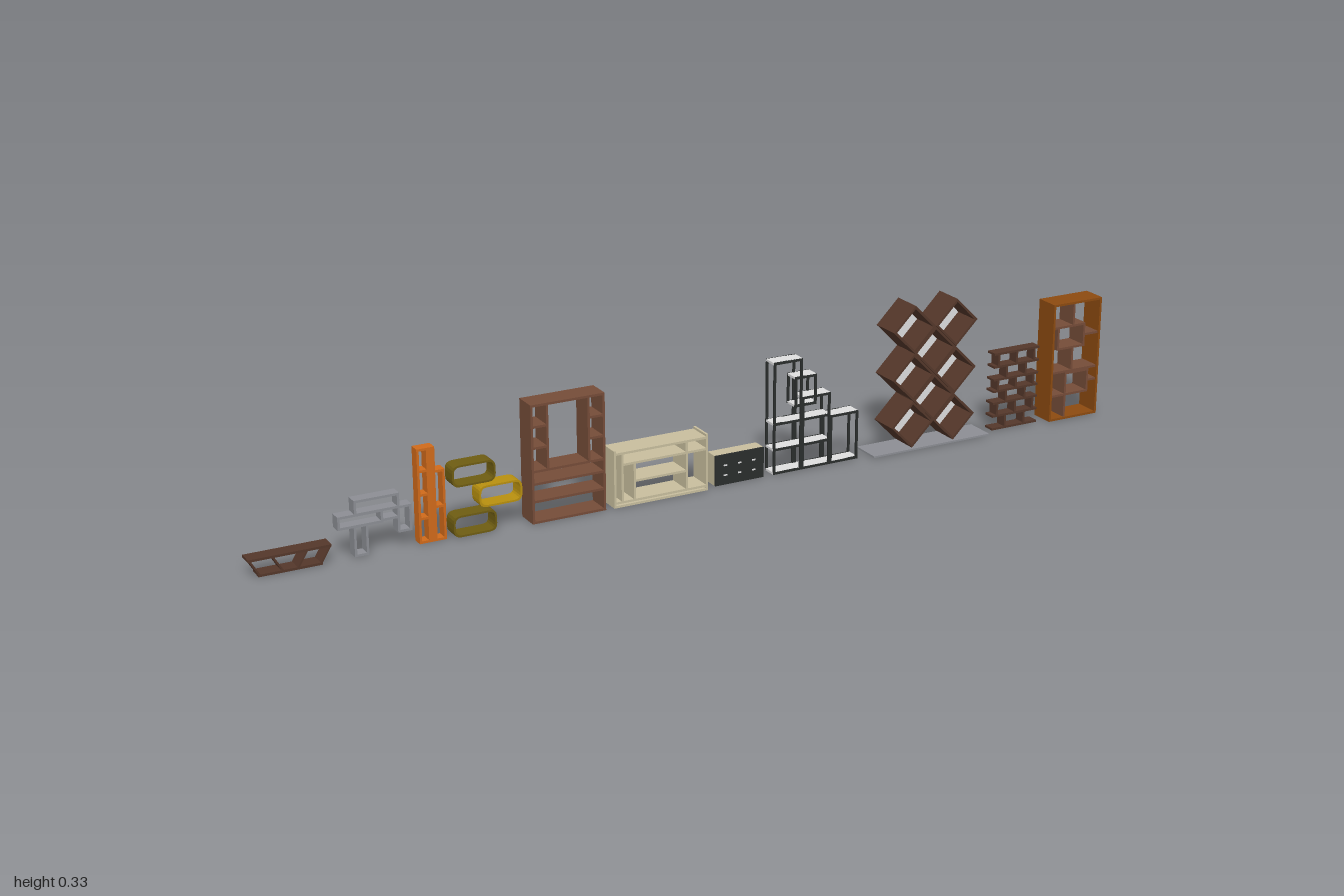
import * as THREE from 'three';

const mat = (name, color) => Object.assign(new THREE.MeshStandardMaterial({ color }), { name });
const M = {
  darkBrown: mat('dark brown', 0x54372a), brown: mat('brown', 0x754c38),
  rust: mat('rust wood', 0x8c4a10), orange: mat('orange wood', 0xd06a1a),
  olive: mat('olive', 0x6e5c12), gold: mat('gold', 0xb8900f),
  beige: mat('beige', 0xc8be9e), grey: mat('grey', 0x8c8e94),
  white: mat('white', 0xdededf), black: mat('black', 0x2a2d2c),
};
const T = 0.005; // board thickness

export function createModel() {
  const root = new THREE.Group();
  const unit = (name) => {
    const g = new THREE.Group();
    g.name = name;
    root.add(g);
    return g;
  };
  const add = (g, geo, m, name) => {
    const mesh = new THREE.Mesh(geo, m);
    mesh.name = name;
    g.add(mesh);
    return mesh;
  };
  // box given by its extents in x and y, its depth and z centre
  const box = (g, m, name, x0, x1, y0, y1, d, z = 0) => {
    const mesh = add(g, new THREE.BoxGeometry(x1 - x0, y1 - y0, d), m, name);
    mesh.position.set((x0 + x1) / 2, (y0 + y1) / 2, z);
    return mesh;
  };
  const shelf = (g, m, x0, x1, y, d, z = 0) => box(g, m, 'shelf', x0, x1, y, y + T, d, z);
  const upright = (g, m, x, y0, y1, d, z = 0) => box(g, m, 'upright', x, x + T, y0, y1, d, z);
  // open rectangular box, seen through from front to back
  const frame = (g, m, x0, x1, y0, y1, d, z = 0) => {
    shelf(g, m, x0, x1, y0, d, z);
    shelf(g, m, x0, x1, y1 - T, d, z);
    upright(g, m, x0, y0 + T, y1 - T, d, z);
    upright(g, m, x1 - T, y0 + T, y1 - T, d, z);
  };
  // slanted board between two points
  const slat = (g, m, ax, ay, bx, by, d, t = T) => {
    const mesh = add(g, new THREE.BoxGeometry(Math.hypot(bx - ax, by - ay), t, d), m, 'slat');
    mesh.position.set((ax + bx) / 2, (ay + by) / 2, 0);
    mesh.rotation.z = Math.atan2(by - ay, bx - ax);
  };

  // Low tapered wall shelf
  let g = unit('taperedShelf'), d = 0.033;
  shelf(g, M.darkBrown, -1, -0.83, 0.034, d);
  shelf(g, M.darkBrown, -0.98, -0.85, 0, d);
  [[-0.997, -0.977], [-0.95, -0.93], [-0.88, -0.9], [-0.833, -0.853]].forEach(([a, b]) =>
    slat(g, M.darkBrown, a, 0.036, b, 0.003, d, 0.004));

  // Grey interlocking boxes
  g = unit('interlockingShelf'); d = 0.026;
  frame(g, M.grey, -0.815, -0.72, 0.062, 0.09, d);
  frame(g, M.grey, -0.78, -0.685, 0.086, 0.118, d);
  frame(g, M.grey, -0.782, -0.752, 0, 0.066, d);
  frame(g, M.grey, -0.69, -0.66, 0.034, 0.09, d);
  shelf(g, M.grey, -0.72, -0.69, 0.065, d);

  // Tall narrow orange shelf
  g = unit('narrowShelf'); d = 0.024;
  box(g, M.orange, 'column', -0.625, -0.607, 0, 0.2, d);
  upright(g, M.orange, -0.645, 0, 0.2, d);
  for (const y of [0, 0.05, 0.1, 0.15, 0.195]) shelf(g, M.orange, -0.645, -0.625, y, d);
  upright(g, M.orange, -0.592, 0, 0.15, d);
  for (const y of [0, 0.07, 0.145]) shelf(g, M.orange, -0.607, -0.587, y, d);

  // Rounded open boxes
  g = unit('roundedShelf'); d = 0.036;
  const rounded = (C, w, h, r) => {
    const s = new C(), x = w / 2, y = h / 2;
    s.moveTo(-x + r, -y).lineTo(x - r, -y).quadraticCurveTo(x, -y, x, -y + r);
    s.lineTo(x, y - r).quadraticCurveTo(x, y, x - r, y);
    s.lineTo(-x + r, y).quadraticCurveTo(-x, y, -x, y - r);
    s.lineTo(-x, -y + r).quadraticCurveTo(-x, -y, -x + r, -y);
    return s;
  };
  [[-0.527, 0.13, M.olive], [-0.47, 0.077, M.gold], [-0.527, 0.023, M.olive]].forEach(([x, y, m]) => {
    const s = rounded(THREE.Shape, 0.094, 0.046, 0.016);
    s.holes.push(rounded(THREE.Path, 0.086, 0.038, 0.013));
    const geo = new THREE.ExtrudeGeometry(s, { depth: d, bevelEnabled: false, curveSegments: 4 });
    add(g, geo, m, 'roundedBox').position.set(x, y, -d / 2);
  });

  // Brown wall unit with a central opening
  g = unit('wallUnit'); d = 0.052;
  frame(g, M.brown, -0.405, -0.24, 0, 0.255, d);
  for (const y of [0.045, 0.083, 0.11]) shelf(g, M.brown, -0.4, -0.245, y, d);
  for (const [x0, x1, post] of [[-0.4, -0.371, -0.371], [-0.274, -0.245, -0.279]]) {
    upright(g, M.brown, post, 0.115, 0.25, d);
    for (const y of [0.16, 0.205]) shelf(g, M.brown, x0, x1, y, d);
  }

  // Beige media console
  g = unit('mediaConsole'); d = 0.056;
  shelf(g, M.beige, -0.222, -0.003, 0, d);
  shelf(g, M.beige, -0.222, -0.003, 0.008, d);
  shelf(g, M.beige, -0.222, -0.003, 0.115, d);
  shelf(g, M.beige, -0.205, -0.008, 0.09, d);
  shelf(g, M.beige, -0.172, -0.054, 0.05, d);
  upright(g, M.beige, -0.222, 0, 0.125, d);
  upright(g, M.beige, -0.008, 0, 0.125, d);
  upright(g, M.beige, -0.205, 0.013, 0.115, d);
  upright(g, M.beige, -0.177, 0.013, 0.09, d);
  upright(g, M.beige, -0.056, 0.013, 0.115, d);

  // Small chest with a dark front
  g = unit('smallChest'); d = 0.034;
  box(g, M.beige, 'body', 0.02, 0.137, 0, 0.067, d - 0.004, -0.002);
  box(g, M.black, 'frontPanel', 0.02, 0.137, 0, 0.067, 0.004, 0.015);
  for (let i = 0; i < 3; i++) for (const y of [0.02, 0.042])
    box(g, M.white, 'handle', 0.04 + i * 0.034, 0.048 + i * 0.034, y, y + 0.003, 0.002, 0.0175);

  // White stepped shelf with black edging
  g = unit('steppedShelf'); d = 0.036;
  const edged = (x0, x1, y0, y1, levels) => {
    for (const y of [y0, ...levels, y1 - T]) shelf(g, M.white, x0, x1, y, d - 0.004);
    for (const z of [-d / 2 + 0.002, d / 2 - 0.002]) {
      frame(g, M.black, x0, x1, y0, y1, 0.004, z);
      for (const y of levels) shelf(g, M.black, x0, x1, y, 0.004, z);
    }
  };
  edged(0.16, 0.23, 0, 0.25, [0.053, 0.11]);
  edged(0.212, 0.265, 0.143, 0.21, []);
  edged(0.23, 0.3, 0, 0.163, [0.053, 0.11]);
  edged(0.3, 0.37, 0, 0.11, []);

  // Crossed stack of diamond cubes on a grey base
  g = unit('diamondShelf'); d = 0.068;
  box(g, M.grey, 'base', 0.402, 0.702, 0, 0.004, 0.07);
  const h = 0.0535, cx = 0.553, side = h * Math.SQRT2;
  for (let row = 0; row < 5; row++) {
    for (const dx of row % 2 ? [0] : [-h, h]) {
      const cell = new THREE.Group();
      cell.name = 'diamondCell';
      cell.position.set(cx + dx, 0.06 + row * 0.054, 0);
      cell.rotation.z = Math.PI / 4;
      g.add(cell);
      const s = side / 2;
      frame(cell, M.darkBrown, -s, s, -s, s, d);
      box(cell, M.darkBrown, 'backPanel', -s, s, -s, s, 0.004, -d / 2);
      box(cell, M.white, 'backLining', -s + T, s - T, -s + T, s - T, 0.002, -d / 2 + 0.003);
    }
  }

  // Dark staggered shelf
  g = unit('staggeredShelf'); d = 0.026;
  const levels = [0, 0.03, 0.06, 0.088, 0.115, 0.145, 0.175];
  levels.forEach((y, i) => {
    shelf(g, M.darkBrown, 0.725, 0.845, y, d);
    if (i === levels.length - 1) return;
    for (const x of i % 2 ? [0.735, 0.783, 0.83] : [0.757, 0.808])
      upright(g, M.darkBrown, x, y + T, levels[i + 1], d);
  });

  // Tall bookcase with an offset interior
  g = unit('tallBookcase'); d = 0.056;
  frame(g, M.rust, 0.87, 1, 0, 0.274, d);
  d = 0.05;
  frame(g, M.brown, 0.885, 0.96, 0.165, 0.22, d);
  shelf(g, M.brown, 0.875, 0.885, 0.215, d);
  shelf(g, M.brown, 0.96, 0.995, 0.19, d);
  shelf(g, M.brown, 0.875, 0.995, 0.11, d);
  frame(g, M.brown, 0.91, 0.975, 0.055, 0.11, d);
  shelf(g, M.brown, 0.875, 0.91, 0.055, d);
  shelf(g, M.brown, 0.975, 0.995, 0.08, d);
  upright(g, M.brown, 0.925, 0.22, 0.269, d);
  upright(g, M.brown, 0.925, 0.115, 0.165, d);
  upright(g, M.brown, 0.91, 0.005, 0.055, d);

  return root;
}
